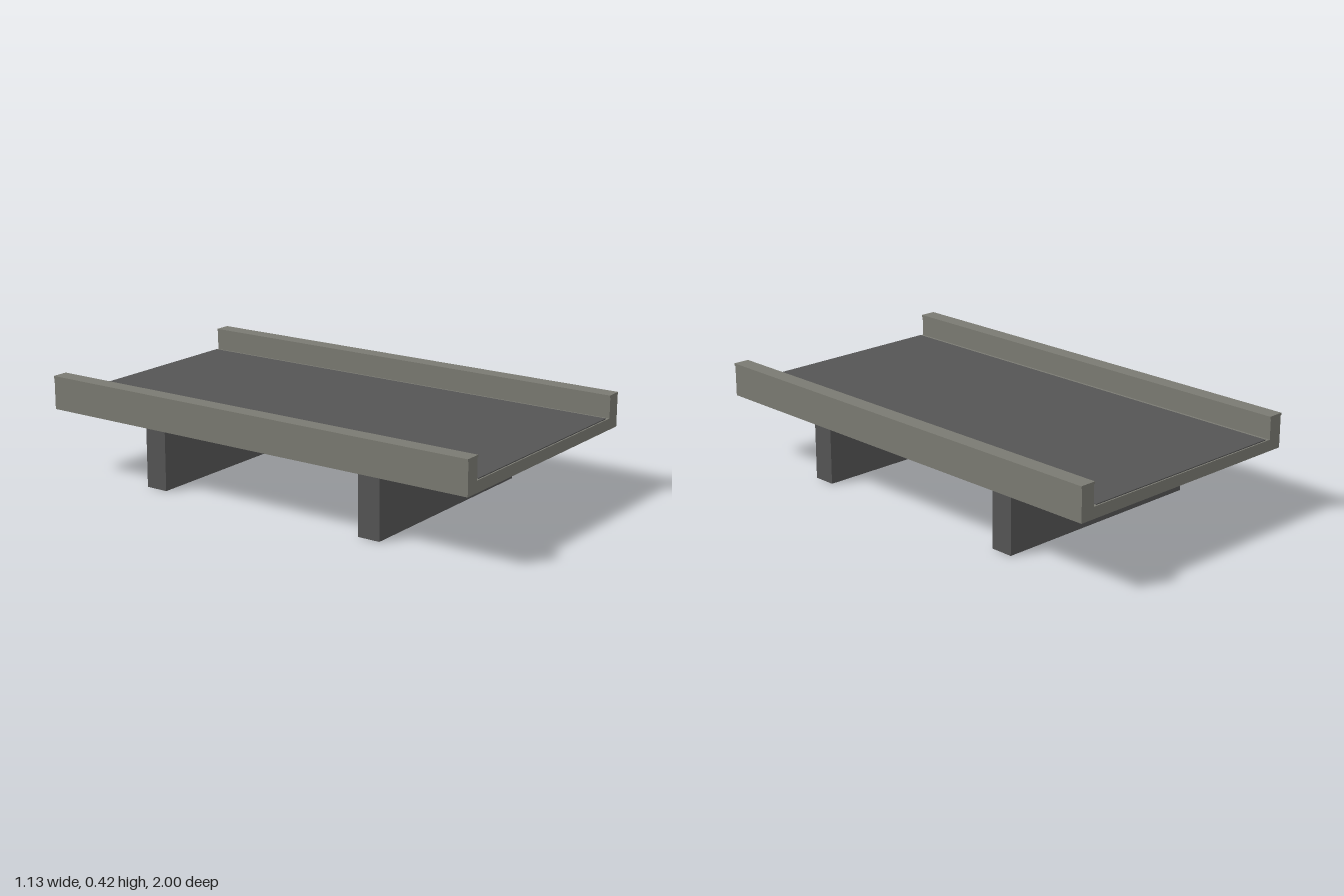
import * as THREE from 'three';

export function createModel() {
  const group = new THREE.Group();
  const concrete = new THREE.MeshStandardMaterial({ name: 'concrete', color: 0x7a7a72 });
  const asphalt = new THREE.MeshStandardMaterial({ name: 'darkGrey', color: 0x555555 });

  // Box given by its bottom height and its centre in x and z
  const box = (name, material, [w, h, d], [x, bottom, z]) => {
    const mesh = new THREE.Mesh(new THREE.BoxGeometry(w, h, d), material);
    mesh.name = name;
    mesh.position.set(x, bottom + h / 2, z);
    group.add(mesh);
  };

  // Deck and side walls as one U-shaped section, swept along z
  const section = new THREE.Shape([
    [-0.562, 0.277], [0.562, 0.277], [0.562, 0.41], [0.5, 0.41],
    [0.5, 0.324], [-0.5, 0.324], [-0.5, 0.41], [-0.562, 0.41],
  ].map(([x, y]) => new THREE.Vector2(x, y)));
  const deckGeometry = new THREE.ExtrudeGeometry(section, { depth: 2, bevelEnabled: false });
  deckGeometry.translate(0, 0, -1);
  const deck = new THREE.Mesh(deckGeometry, concrete);
  deck.name = 'deckWithSideWalls';
  group.add(deck);

  // Thin road surface
  box('roadSurface', asphalt, [0.96, 0.004, 1.988], [0, 0.324, 0]);

  // Overhanging caps on the walls, and the two cross piers
  for (const side of [1, -1]) {
    const label = side > 0 ? 'left' : 'right';
    box(label + 'WallCap', concrete, [0.07, 0.01, 2], [side * 0.531, 0.409, 0]);
    box(side > 0 ? 'frontPier' : 'backPier', asphalt, [0.972, 0.277, 0.098], [0, 0, side * 0.523]);
  }
  return group;
}
